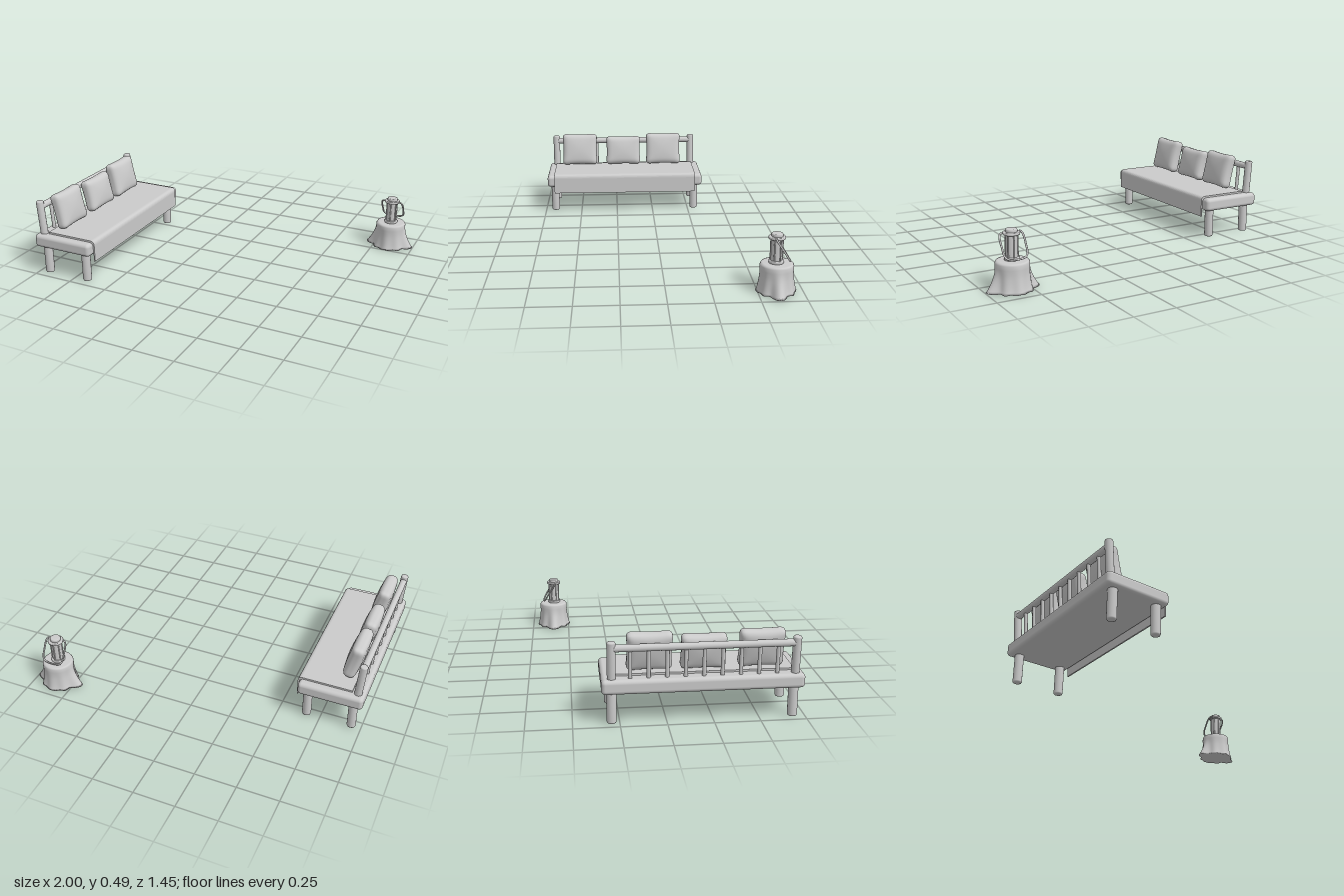
import * as THREE from 'three';
import { mergeVertices } from 'three/addons/utils/BufferGeometryUtils.js';
import { RoundedBoxGeometry } from 'three/addons/geometries/RoundedBoxGeometry.js';

const grey = new THREE.MeshStandardMaterial({ color: 0xcccccc });
const greyDouble = new THREE.MeshStandardMaterial({ color: 0xcccccc, side: THREE.DoubleSide });

function add(parent, name, geometry, x = 0, y = 0, z = 0, material = grey) {
  const mesh = new THREE.Mesh(geometry, material);
  mesh.name = name;
  mesh.position.set(x, y, z);
  parent.add(mesh);
  return mesh;
}

// Round pole with softened ends, standing on its origin
function pole(r, h, soft = r * 0.35) {
  const pts = [[0, 0], [r - soft, 0], [r - soft * 0.3, soft * 0.3], [r, soft],
    [r, h - soft], [r - soft * 0.3, h - soft * 0.3], [r - soft, h], [0, h]];
  return new THREE.LatheGeometry(pts.map(p => new THREE.Vector2(...p)), 20);
}

// Stuffed cushion: rounded block with pinched edges and fuller corners
function cushionGeometry(t, h, w) {
  let g = new THREE.BoxGeometry(t, h, w, 10, 18, 18);
  g.deleteAttribute('normal');
  g.deleteAttribute('uv');
  g = mergeVertices(g);
  const r = 0.032, half = new THREE.Vector3(t / 2 - r, h / 2 - r, w / 2 - r);
  const p = new THREE.Vector3(), inner = new THREE.Vector3(), pos = g.attributes.position;
  for (let i = 0; i < pos.count; i++) {
    p.fromBufferAttribute(pos, i);
    inner.copy(p).clamp(half.clone().negate(), half);
    p.sub(inner).setLength(r).add(inner);
    const v = 2 * p.y / h, u = 2 * p.z / w;
    const bow = k => 1 - 0.06 * Math.max(0, 1 - k * k);
    const puff = 0.8 + 0.22 * (1 - u * u) * (1 - v * v) + 0.1 * (1 - Math.max(u * u, v * v));
    pos.setXYZ(i, p.x * puff, p.y * bow(u), p.z * bow(v));
  }
  g.computeVertexNormals();
  return g;
}

function buildBench() {
  const bench = new THREE.Group();
  bench.name = 'bench';
  const ends = [0.683, -0.293];

  // Seat frame and legs
  add(bench, 'seatFrame', new RoundedBoxGeometry(0.39, 0.08, 1.08, 4, 0.022), -0.805, 0.216, 0.193);
  for (const z of ends)
    for (const x of [-0.94, -0.665]) add(bench, 'leg', pole(0.027, 0.2), x, 0, z);

  // Backrest leans slightly backwards
  const back = new THREE.Group();
  back.name = 'backrest';
  back.position.set(-0.957, 0.24, 0);
  back.rotation.z = 0.075;
  bench.add(back);
  for (const z of ends) add(back, 'backPost', pole(0.023, 0.223), 0, 0, z);
  const rail = add(back, 'backRail', pole(0.02, ends[0] - ends[1]), 0, 0.186, ends[1]);
  rail.rotation.x = Math.PI / 2;
  for (let i = 1; i <= 9; i++)
    add(back, 'spindle', new THREE.CylinderGeometry(0.011, 0.011, 0.18, 12), 0, 0.095,
      ends[0] + (ends[1] - ends[0]) * i / 10);

  // Seat cloth folded over the front edge
  const s = new THREE.Shape();
  s.moveTo(-0.925, 0.25);
  s.lineTo(-0.925, 0.267);
  s.lineTo(-0.625, 0.267);
  s.quadraticCurveTo(-0.599, 0.267, -0.598, 0.24);
  s.lineTo(-0.598, 0.137);
  s.lineTo(-0.606, 0.137);
  s.lineTo(-0.607, 0.235);
  s.quadraticCurveTo(-0.608, 0.25, -0.63, 0.25);
  s.closePath();
  add(bench, 'seatCloth', new THREE.ExtrudeGeometry(s, { depth: 0.982, bevelEnabled: false, curveSegments: 8 }), 0, 0, -0.297);

  // Three cushions propped against the back
  for (const [z, h] of [[0.512, 0.225], [0.2, 0.205], [-0.088, 0.225]]) {
    const c = add(bench, 'cushion', cushionGeometry(0.088, h, 0.252), -0.889, 0.268 + h / 2, z);
    c.rotation.z = 0.23;
  }
  return bench;
}

// Round stool under a cloth whose four corners flare out at the floor
function clothGeometry() {
  const rings = [[0, 0.165], [0.078, 0.165], [0.088, 0.162], [0.093, 0.153], [0.093, 0.13], [0.092, 0.105],
    [0.094, 0.08], [0.097, 0.055], [0.101, 0.032], [0.105, 0.014], [0.109, 0.002], [0, 0.002]];
  const n = 96, verts = [], index = [];
  rings.forEach(([r, y], j) => {
    const k = Math.max(0, (0.15 - y) / 0.15);
    for (let i = 0; i < n; i++) {
      const a = i / n * Math.PI * 2;
      const corner = Math.pow(Math.abs(Math.cos(2 * a)), 5) * (Math.cos(2 * a) > 0 ? 1 : 0);
      const reach = Math.abs(Math.cos(a)) > 0.7 ? 0.042 : 0.022;
      const rr = r ? r + corner * reach * k ** 1.6 + 0.004 * k * Math.cos(8 * a) : 0;
      const hem = r && y < 0.01 ? 0.002 * Math.cos(12 * a) : 0;
      verts.push(rr * Math.cos(a), y + hem, rr * Math.sin(a));
      if (j) {
        const p = (j - 1) * n, q = j * n, m = (i + 1) % n;
        index.push(p + i, p + m, q + i, p + m, q + m, q + i);
      }
    }
  });
  const g = new THREE.BufferGeometry();
  g.setAttribute('position', new THREE.Float32BufferAttribute(verts, 3));
  g.setIndex(index);
  g.computeVertexNormals();
  return g;
}

function buildLanternStool() {
  const group = new THREE.Group();
  group.name = 'lanternStool';
  group.position.set(0.847, 0, -0.603);
  add(group, 'stoolCloth', clothGeometry(), 0, 0, 0, greyDouble);

  // Lantern body, collars and cap
  const lantern = new THREE.Group();
  lantern.name = 'lantern';
  lantern.position.set(0, 0.163, 0.005);
  group.add(lantern);
  add(lantern, 'lanternBase', pole(0.042, 0.018, 0.005));
  add(lantern, 'lanternBody', new THREE.CylinderGeometry(0.032, 0.032, 0.13, 24), 0, 0.078, 0);
  add(lantern, 'lanternCollar', pole(0.047, 0.016, 0.005), 0, 0.138, 0);
  add(lantern, 'lanternCap', pole(0.032, 0.026, 0.006), 0, 0.145, 0);
  for (let i = 0; i < 6; i++) {
    const a = (i + 0.5) * Math.PI / 3;
    add(lantern, 'lanternRib', new THREE.CylinderGeometry(0.004, 0.004, 0.125, 8),
      0.033 * Math.cos(a), 0.078, 0.033 * Math.sin(a));
  }

  // Carrying handle hanging down behind the lantern
  const half = [[0.04, 0.147, 0.012], [0.058, 0.146, 0.01], [0.067, 0.13, 0], [0.068, 0.08, -0.033],
    [0.064, 0.04, -0.058], [0.045, 0.024, -0.068]];
  const path = [...half, ...half.slice().reverse().map(([x, y, z]) => [-x, y, z])];
  const curve = new THREE.CatmullRomCurve3(path.map(p => new THREE.Vector3(...p)));
  add(lantern, 'lanternHandle', new THREE.TubeGeometry(curve, 64, 0.0055, 8), 0, 0, 0, greyDouble);
  return group;
}

export function createModel() {
  const model = new THREE.Group();
  model.name = 'benchAndLantern';
  model.add(buildBench(), buildLanternStool());
  return model;
}
